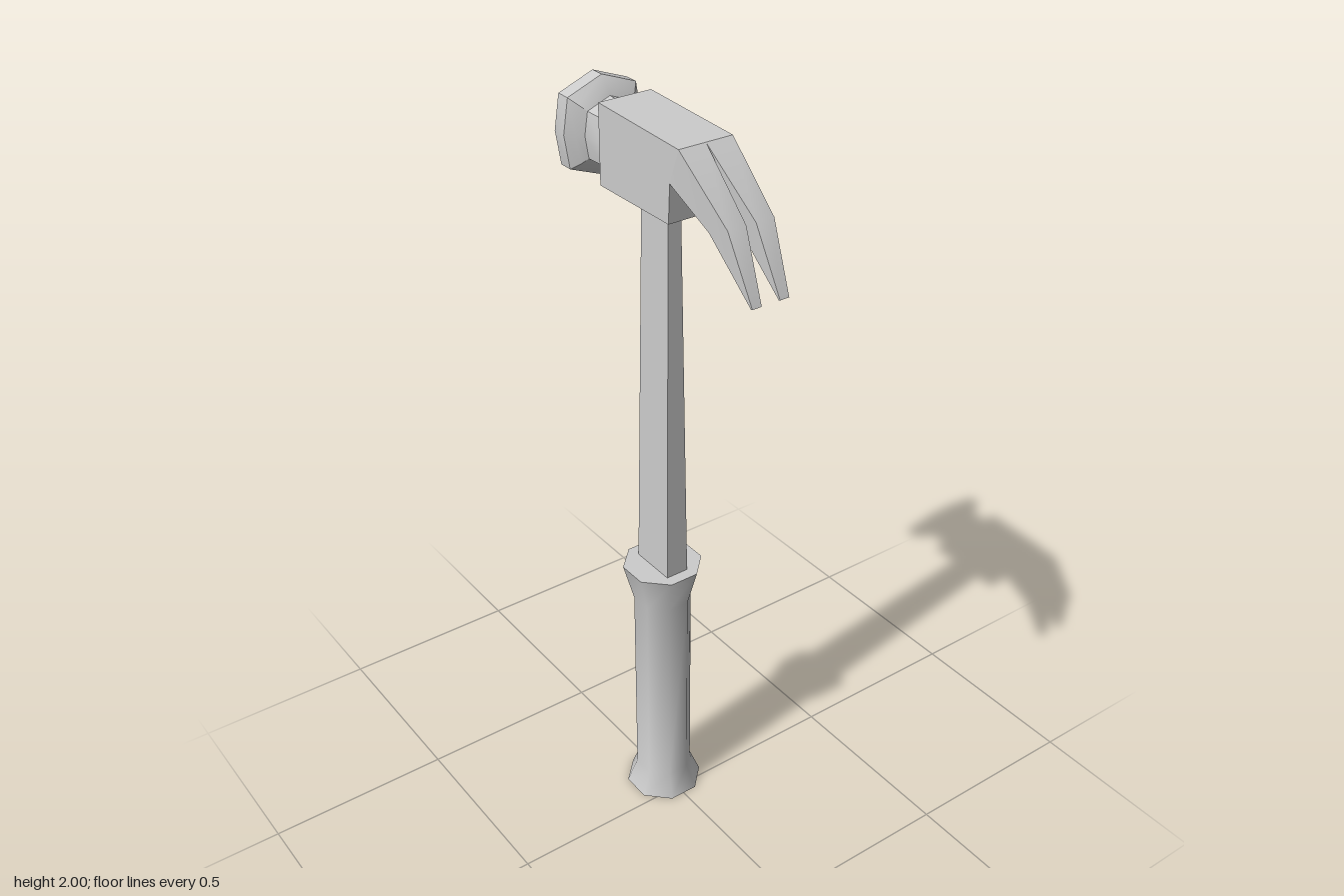
import * as THREE from 'three';
import { toCreasedNormals } from 'three/addons/utils/BufferGeometryUtils.js';

const material = new THREE.MeshStandardMaterial({ color: 0xcccccc });

// Skin a list of rings, each running counter-clockwise about the loft direction, and cap both ends
function loft(name, rings, crease) {
  const pos = [];
  const tri = (a, b, c) => pos.push(...a, ...b, ...c);
  const n = rings[0].length;
  for (let i = 0; i < rings.length - 1; i++) {
    for (let j = 0; j < n; j++) {
      const k = (j + 1) % n;
      tri(rings[i][j], rings[i][k], rings[i + 1][k]);
      tri(rings[i][j], rings[i + 1][k], rings[i + 1][j]);
    }
  }
  const first = rings[0], last = rings[rings.length - 1];
  for (let j = 1; j < n - 1; j++) {
    tri(first[0], first[j + 1], first[j]);
    tri(last[0], last[j], last[j + 1]);
  }
  const geometry = new THREE.BufferGeometry();
  geometry.setAttribute('position', new THREE.Float32BufferAttribute(pos, 3));
  return makeMesh(name, toCreasedNormals(geometry, THREE.MathUtils.degToRad(crease)));
}

function makeMesh(name, geometry) {
  const mesh = new THREE.Mesh(geometry, material);
  mesh.name = name;
  return mesh;
}

// Horizontal rectangle at height y
const rect = (y, x0, x1, z) => [[x1, y, z], [x1, y, -z], [x0, y, -z], [x0, y, z]];

// Horizontal octagon with flats facing the axes
const gripRing = ([y, apothem]) => Array.from({ length: 8 }, (_, k) => {
  const a = (k + 0.5) * Math.PI / 4, r = apothem / Math.cos(Math.PI / 8);
  return [-0.066 + r * Math.cos(a), y, -r * Math.sin(a)];
});

// Upright eight-sided ring with a corner on top, slightly squared at the shoulders
const faceRing = ([x, s]) => Array.from({ length: 8 }, (_, k) => {
  const a = k * Math.PI / 4;
  const z = Math.sign(Math.round(Math.sin(a) * 10)) * (k % 2 ? 0.094 : 0.108);
  return [x, 1.879 + 0.121 * s * Math.cos(a), s * z];
});

export function createModel() {
  const hammer = new THREE.Group();
  hammer.name = 'hammer';

  // Handle
  hammer.add(loft('grip', [[0, 0.097], [0.07, 0.071], [0.655, 0.071], [0.76, 0.097]].map(gripRing), 50));
  hammer.add(loft('shaft', [rect(0.74, -0.13, 0, 0.032), rect(1.76, -0.115, -0.01, 0.018)], 30));

  // Head block and the tapered collar below it
  const side = new THREE.Shape([
    [-0.2, 1.976], [-0.2, 1.78], [0.066, 1.78], [0.071, 1.876], [0.103, 1.963],
  ].map(([x, y]) => new THREE.Vector2(x, y)));
  const block = new THREE.ExtrudeGeometry(side, { depth: 0.144, bevelEnabled: false });
  block.translate(0, 0, -0.072);
  hammer.add(makeMesh('headBlock', block));
  hammer.add(loft('collar', [rect(1.744, -0.115, -0.01, 0.02), rect(1.78, -0.2, 0.066, 0.072)], 20));

  // Neck and striking face
  hammer.add(loft('strikingFace', [
    [-0.34, 0.66], [-0.33, 1], [-0.292, 1], [-0.272, 0.82], [-0.26, 0.66], [-0.2, 0.65],
  ].map(faceRing), 30));

  // Two claws: top x, top y, bottom x, bottom y, inner z, outer z
  const sections = [
    [0.103, 1.963, 0.071, 1.876, 0, 0.072],
    [0.263, 1.834, 0.198, 1.807, 0.013, 0.062],
    [0.337, 1.679, 0.333, 1.677, 0.025, 0.05],
  ];
  for (const s of [1, -1]) {
    const rings = sections.map(([tx, ty, bx, by, zi, zo]) => {
      const [a, b] = s > 0 ? [zi, zo] : [-zo, -zi];
      return [[bx, by, a], [tx, ty, a], [tx, ty, b], [bx, by, b]];
    });
    hammer.add(loft(s > 0 ? 'frontClaw' : 'backClaw', rings, 35));
  }
  return hammer;
}
